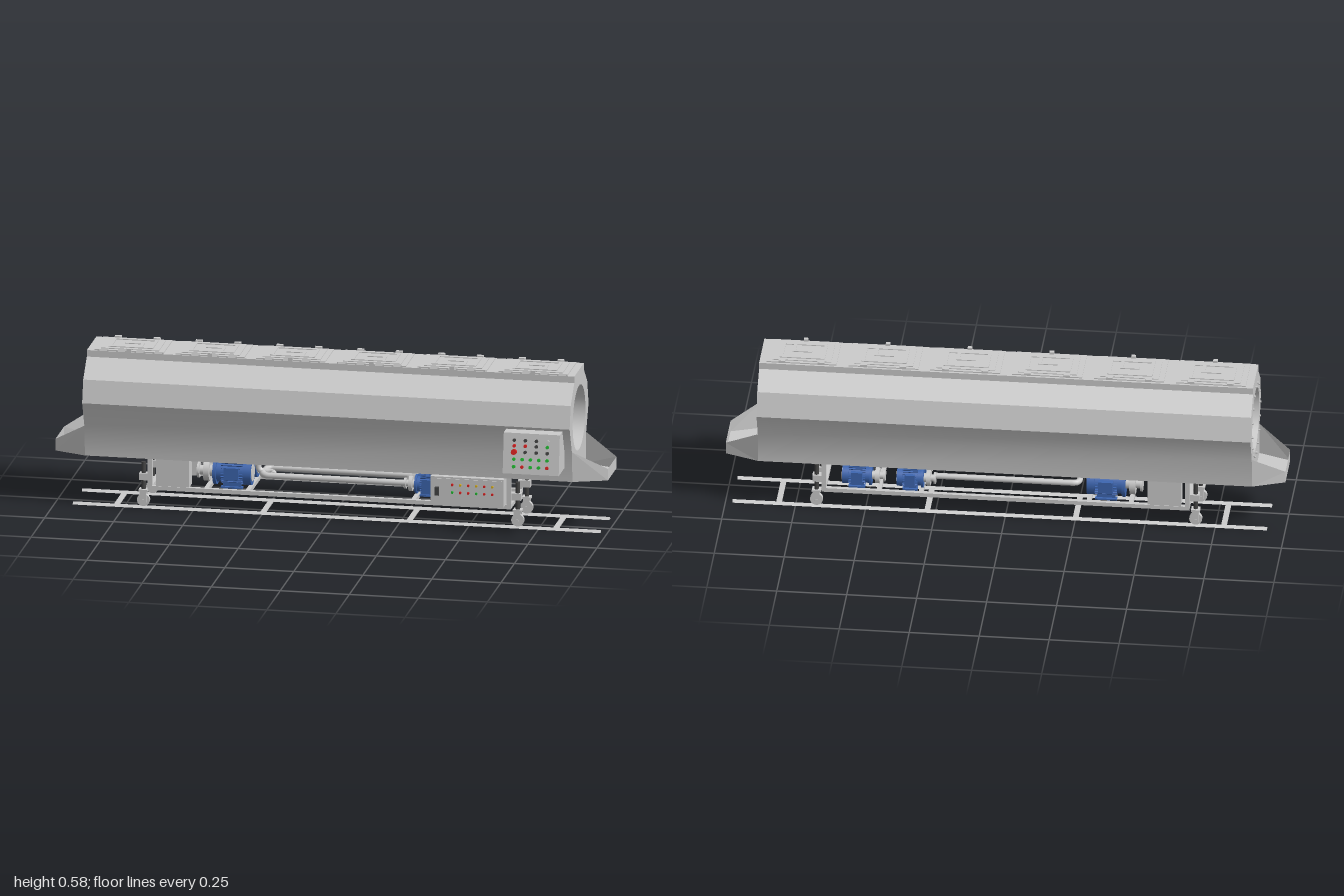
import * as THREE from 'three';
import { toCreasedNormals } from 'three/addons/utils/BufferGeometryUtils.js';

const mat = (color, side = THREE.FrontSide) => new THREE.MeshStandardMaterial({ color, side });
const GREY = mat(0xcccccc), THIN = mat(0xcccccc, THREE.DoubleSide);
const BLUE = mat(0x3d66b0), DARK = mat(0x444444), RED = mat(0xdd2222), GREEN = mat(0x22bb33), YELLOW = mat(0xd8b020);
const MID = -0.033; // z of the drum axis

function add(parent, name, geo, x = 0, y = 0, z = 0, material = GREY) {
  const m = new THREE.Mesh(geo, material);
  m.name = name;
  m.position.set(x, y, z);
  parent.add(m);
  return m;
}
// box given by its limits
function block(parent, name, [x0, x1], [y0, y1], [z0, z1], material = GREY) {
  return add(parent, name, new THREE.BoxGeometry(x1 - x0, y1 - y0, z1 - z0),
    (x0 + x1) / 2, (y0 + y1) / 2, (z0 + z1) / 2, material);
}
const cylX = (r, len, seg = 24, r2 = r) => new THREE.CylinderGeometry(r2, r, len, seg).rotateZ(-Math.PI / 2);
const cylZ = (r, len, seg = 16) => new THREE.CylinderGeometry(r, r, len, seg).rotateX(Math.PI / 2);
// extrudes a (z, y) outline along x
function alongX(points, x0, x1, hole) {
  const s = new THREE.Shape(points.map(([z, y]) => new THREE.Vector2(-z, y)));
  if (hole) s.holes.push(hole);
  const g = new THREE.ExtrudeGeometry(s, { depth: x1 - x0, bevelEnabled: false, curveSegments: 32 });
  return toCreasedNormals(g.rotateY(Math.PI / 2).translate(x0, 0, 0), 0.4);
}
function quads(list) {
  const pos = list.flatMap(([a, b, c, d]) => [a, b, c, a, c, d].flat());
  const g = new THREE.BufferGeometry();
  g.setAttribute('position', new THREE.Float32BufferAttribute(pos, 3));
  g.computeVertexNormals();
  return g;
}

// ---- drum housing with the round bore, and the open end trays
function housing(root) {
  const bore = new THREE.Path().absarc(-MID, 0.396, 0.118, 0, Math.PI * 2, true);
  const outline = [[0.055, 0.572], [0.055, 0.548], [0.122, 0.482], [0.142, 0.4], [0.1, 0.305], [0.09, 0.192],
    [-0.157, 0.192], [-0.165, 0.305], [-0.209, 0.4], [-0.185, 0.488], [-0.122, 0.548], [-0.122, 0.572]];
  add(root, 'drumHousing', alongX(outline, -0.885, 0.88, bore));
  for (const s of [-1, 1]) {
    const h = s > 0 ? 0.88 : -0.885;
    const A = [h, 0.305, 0.1], B = [h, 0.192, 0.09], C = [s, 0.235, 0.047], D = [s, 0.192, 0.047];
    const E = [h, 0.305, -0.165], F = [h, 0.192, -0.157], G = [s, 0.235, -0.113], H = [s, 0.192, -0.113];
    add(root, 'endTray', quads([[A, B, D, C], [F, E, G, H], [B, F, H, D], [C, D, H, G]]), 0, 0, 0, THIN);
  }
  // bolted flange ring at the right end
  for (let i = 0; i < 16; i++) {
    const a = i / 16 * Math.PI * 2;
    add(root, 'flangeBolt', cylX(0.004, 0.008, 6), -0.887, 0.396 + Math.sin(a) * 0.133, MID + Math.cos(a) * 0.133);
  }
}

// ---- hatch with raised frame, pipe-like ribs and clasps
function hatch(root, x) {
  const g = new THREE.Group();
  g.name = 'roofHatch';
  g.position.set(x, 0.572, MID);
  root.add(g);
  block(g, 'hatchPlate', [-0.125, 0.125], [0, 0.004], [-0.08, 0.083]);
  block(g, 'hatchCover', [-0.105, 0.105], [0.004, 0.007], [-0.068, 0.07]);
  for (const s of [-1, 1]) {
    block(g, 'hatchRib', [-0.08, 0.08], [0.007, 0.01], [s * 0.048 - 0.006, s * 0.048 + 0.006]);
    block(g, 'hatchCrossRib', [s * 0.075 - 0.006, s * 0.075 + 0.006], [0.007, 0.01], [-0.048, 0.048]);
    block(g, 'hatchHinge', [s * 0.07 - 0.012, s * 0.07 + 0.012], [0.002, 0.011], [-0.085, -0.07]);
  }
  block(g, 'hatchBrace', [-0.03, 0.04], [0.007, 0.01], [-0.008, 0.004]);
  block(g, 'hatchBrace', [0.028, 0.04], [0.007, 0.01], [-0.008, 0.048]);
  block(g, 'hatchClasp', [-0.008, 0.008], [0, 0.013], [0.074, 0.088]);
}

// ---- electric motor on feet with its pump; dir points from the fan to the pump
function motor(root, x, y, z, r, len, dir, boxSide) {
  const g = new THREE.Group();
  g.name = 'pumpMotor';
  g.position.set(x, y, z);
  root.add(g);
  add(g, 'motorBody', cylX(r * 0.86, len), 0, 0, 0, BLUE);
  for (let i = 0; i < 24; i++) {
    const a = i / 24 * Math.PI * 2;
    const fin = add(g, 'coolingFin', new THREE.BoxGeometry(len * 0.6, r * 0.16, r * 0.07),
      0, Math.cos(a) * r * 0.9, Math.sin(a) * r * 0.9, BLUE);
    fin.rotation.x = a;
  }
  add(g, 'fanCover', cylX(r, len * 0.22), -dir * len * 0.42, 0, 0, BLUE);
  add(g, 'fanGrille', cylX(r * 0.72, 0.004), -dir * len * 0.53, 0, 0);
  add(g, 'motorFlange', cylX(r * 1.08, len * 0.09), dir * len * 0.48, 0, 0, BLUE);
  for (const s of [-1, 1]) {
    block(g, 'motorFoot', [-len * 0.3, len * 0.3], [0.09 - y, 0.096 - y], [s * r * 0.65 - 0.01, s * r * 0.65 + 0.01], BLUE);
    block(g, 'motorFootWeb', [-len * 0.25, len * 0.25], [0.09 - y, -r * 0.5], [s * r * 0.6 - 0.003, s * r * 0.6 + 0.003], BLUE);
  }
  block(g, 'terminalBox', [-len * 0.2, len * 0.2], [-0.018, 0.026],
    boxSide > 0 ? [r * 0.8, r * 1.2] : [-r * 1.2, -r * 0.8], BLUE);
  add(g, 'pumpNeck', cylX(r * 0.45, len * 0.3), dir * len * 0.62, 0, 0);
  add(g, 'pumpCasing', cylX(r * 0.85, len * 0.16), dir * len * 0.72, 0, 0);
  add(g, 'pumpInlet', cylX(r * 0.38, len * 0.2), dir * len * 0.86, 0, 0);
  add(g, 'pumpInletFlange', cylX(r * 0.62, 0.008), dir * len * 0.96, 0, 0);
}

// ---- adjustable leg with a caster
function leg(root, x, z) {
  const g = new THREE.Group();
  g.name = 'casterLeg';
  g.position.set(x, 0, z);
  root.add(g);
  add(g, 'legScrew', new THREE.CylinderGeometry(0.008, 0.008, 0.1, 12), 0, 0.12, 0, DARK);
  const inner = x > 0 ? [-0.03, 0.014] : [-0.014, 0.03];
  block(g, 'legBracket', inner, [0.105, 0.13], [-0.014, 0.014]);
  block(g, 'forkTop', [-0.016, 0.016], [0.062, 0.07], [-0.015, 0.015]);
  for (const s of [-1, 1]) block(g, 'forkCheek', [-0.012, 0.012], [0.022, 0.064], [s * 0.013 - 0.002, s * 0.013 + 0.002]);
  add(g, 'wheel', cylZ(0.023, 0.014, 24), 0, 0.03, 0);
  add(g, 'axle', cylZ(0.005, 0.036, 10), 0, 0.03, 0);
}

// ---- floor track
function track(root) {
  const angle = [[-0.01, 0], [0, 0.009], [0.01, 0]];
  for (const z of [0.052, -0.117]) add(root, 'trackRail', alongX(angle, -0.935, 0.975), 0, 0, z);
  for (const x of [-0.78, -0.25, 0.28, 0.81]) block(root, 'trackTie', [x - 0.01, x + 0.01], [0, 0.004], [-0.117, 0.052]);
}

// ---- underframe with side boxes
function underframe(root) {
  for (const z of [0.072, -0.139]) {
    block(root, 'frameRail', [-0.66, 0.655], [0.075, 0.09], [z - 0.008, z + 0.008]);
    for (const x of [-0.652, 0.647]) block(root, 'framePost', [x - 0.008, x + 0.008], [0.09, 0.192], [z - 0.008, z + 0.008]);
  }
  for (const x of [-0.652, -0.45, -0.3, 0.3, 0.45, 0.647]) block(root, 'frameCrossbar', [x - 0.008, x + 0.008], [0.075, 0.09], [-0.147, 0.08]);
  block(root, 'frontSideBox', [-0.63, -0.51], [0.09, 0.192], [0.025, 0.078]);
  block(root, 'backSideBox', [-0.63, -0.51], [0.09, 0.192], [-0.145, -0.1]);
  for (const x of [-0.68, 0.675]) for (const z of [0.052, -0.117]) leg(root, x, z);
}

function pipe(root, points, r) {
  const path = new THREE.CurvePath(), p = points.map(v => new THREE.Vector3(...v));
  let from = p[0];
  // straight runs joined by rounded elbows
  for (let i = 1; i < p.length - 1; i++) {
    const a = p[i].clone().add(p[i - 1].clone().sub(p[i]).setLength(0.025));
    const b = p[i].clone().add(p[i + 1].clone().sub(p[i]).setLength(0.025));
    path.add(new THREE.LineCurve3(from, a));
    path.add(new THREE.QuadraticBezierCurve3(a, p[i], b));
    from = b;
  }
  path.add(new THREE.LineCurve3(from, p[p.length - 1]));
  add(root, 'waterPipe', new THREE.TubeGeometry(path, 140, r, 14), 0, 0, 0, THIN);
}

// ---- sloping operator panel and lower switch cabinet
function controls(root) {
  const profile = [[0.185, 0.39], [0.207, 0.245], [0.09, 0.245], [0.09, 0.305], [0.13, 0.39]];
  add(root, 'operatorPanel', alongX(profile, 0.65, 0.853));
  const face = new THREE.Group();
  face.name = 'panelButtons';
  face.position.set(0.75, 0.3175, 0.196);
  face.rotation.x = -0.15;
  root.add(face);
  const rows = [[0.048, [DARK, DARK, DARK, GREY]], [0.028, [RED, RED, DARK, GREEN]],
    [0.006, [RED, DARK, DARK, DARK]], [-0.02, [GREEN, GREEN, GREEN, GREEN, GREEN]], [-0.047, [GREEN, RED, GREEN, GREEN, RED]]];
  for (const [y, colours] of rows) colours.forEach((c, i) =>
    add(face, 'button', cylZ(0.006, 0.012, 12), -0.06 + i * 0.12 / (colours.length - 1), y, 0.003, c));
  add(face, 'stopButton', cylZ(0.01, 0.02), -0.06, 0.006, 0.005, RED);

  block(root, 'switchCabinet', [0.37, 0.635], [0.09, 0.192], [0.03, 0.112]);
  block(root, 'cabinetDoor', [0.376, 0.629], [0.096, 0.186], [0.112, 0.115]);
  block(root, 'mainSwitch', [0.388, 0.402], [0.125, 0.155], [0.115, 0.127], DARK);
  for (let i = 0; i < 6; i++) {
    add(root, 'indicator', cylZ(0.0045, 0.008, 12), 0.45 + i * 0.029, 0.165, 0.117, i % 2 ? YELLOW : RED);
    add(root, 'indicator', cylZ(0.0045, 0.008, 12), 0.45 + i * 0.029, 0.137, 0.117, i % 3 ? RED : GREEN);
  }
}

export function createModel() {
  const root = new THREE.Group();
  root.name = 'drumMachine';
  housing(root);
  for (let i = 0; i < 6; i++) hatch(root, -0.733 + i * 0.2925);
  track(root);
  underframe(root);
  controls(root);
  motor(root, -0.36, 0.143, 0.022, 0.045, 0.13, -1, 1);
  motor(root, -0.36, 0.143, -0.088, 0.047, 0.13, -1, -1);
  motor(root, 0.34, 0.128, 0.0, 0.032, 0.085, -1, 1);
  motor(root, 0.34, 0.128, -0.1, 0.034, 0.09, -1, -1);
  motor(root, 0.53, 0.128, -0.1, 0.034, 0.1, -1, -1);
  // pipework: a loop between the pumps with a riser into the tank
  pipe(root, [[0.26, 0.132, 0.012], [-0.26, 0.132, 0.012], [-0.26, 0.132, -0.09], [0.25, 0.132, -0.09]], 0.011);
  pipe(root, [[-0.28, 0.195, -0.025], [-0.28, 0.135, -0.025], [-0.22, 0.135, -0.025], [-0.22, 0.135, 0.01]], 0.011);
  return root;
}
